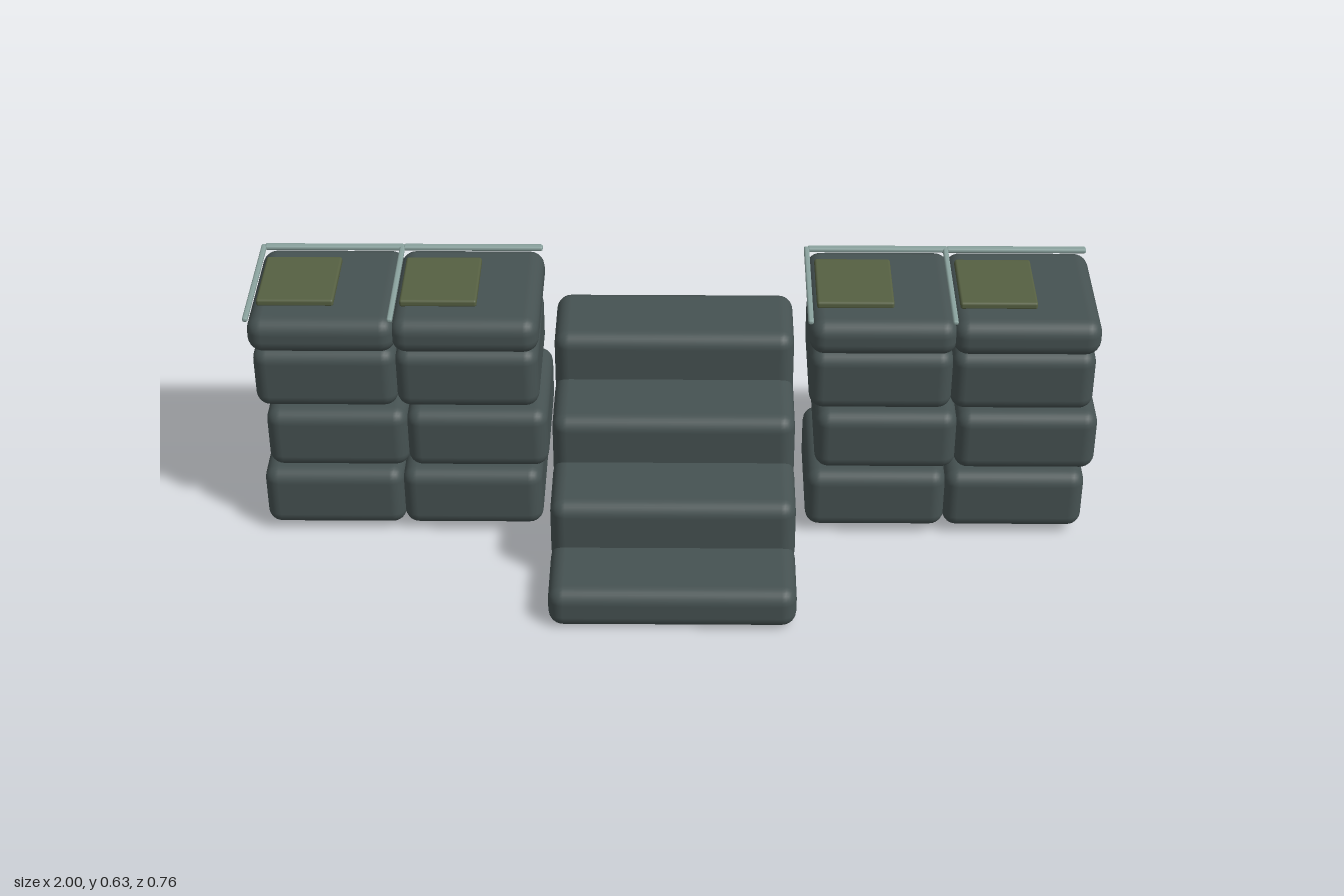
import * as THREE from 'three';
import { RoundedBoxGeometry } from 'three/addons/geometries/RoundedBoxGeometry.js';

const stone = new THREE.MeshStandardMaterial({ name: 'dark slate stone', color: 0x465252 });
const moss = new THREE.MeshStandardMaterial({ name: 'moss green', color: 0x566042 });
const trim = new THREE.MeshStandardMaterial({ name: 'pale grey trim', color: 0x8aa29e });

// Rounded block given by its size and centre
function block(parent, name, material, [w, h, d], [x, y, z], radius, segments = 3) {
  const mesh = new THREE.Mesh(new RoundedBoxGeometry(w, h, d, segments, radius), material);
  mesh.name = name;
  mesh.position.set(x, y, z);
  parent.add(mesh);
}

const PITCH = 0.333;

// Two-column stone wall with cap stones, edge trim and moss patches
function createWall(name, x) {
  const wall = new THREE.Group();
  wall.name = name;
  wall.position.x = x;

  for (const side of [-0.5, 0.5]) {
    const cx = side * PITCH;
    // three courses, the middle one shifted sideways
    for (let row = 0; row < 3; row++) {
      const shift = row === 1 ? 0.018 : 0;
      block(wall, 'wallStone', stone, [0.336, 0.158, 0.318],
        [cx + shift, 0.097 + row * 0.171, -0.155], 0.034);
    }
    block(wall, 'capStone', stone, [0.344, 0.09, 0.355], [cx, 0.566, -0.155], 0.036);

    // trim along the back and the -x edge of each cap
    block(wall, 'backTrim', trim, [0.335, 0.012, 0.019], [cx, 0.615, -0.318], 0.005, 2);
    block(wall, 'sideTrim', trim, [0.013, 0.012, 0.338], [cx - 0.17, 0.615, -0.154], 0.005, 2);

    block(wall, 'mossPatch', moss, [0.18, 0.018, 0.2], [cx - 0.064, 0.617, -0.156], 0.006, 2);
  }
  return wall;
}

export function createModel() {
  const model = new THREE.Group();
  model.name = 'stoneStairWithWalls';

  // Steps get taller and rise toward the back
  const stairs = new THREE.Group();
  stairs.name = 'stairs';
  for (let i = 0; i < 4; i++) {
    const height = 0.104 + i * 0.081;
    const top = 0.104 + i * 0.119;
    block(stairs, 'step', stone, [0.576, height, 0.22],
      [-0.008, top - height / 2, 0.268 - i * 0.1787], 0.035);
  }
  model.add(stairs);

  model.add(createWall('rightWall', -0.659), createWall('leftWall', 0.645));
  return model;
}
